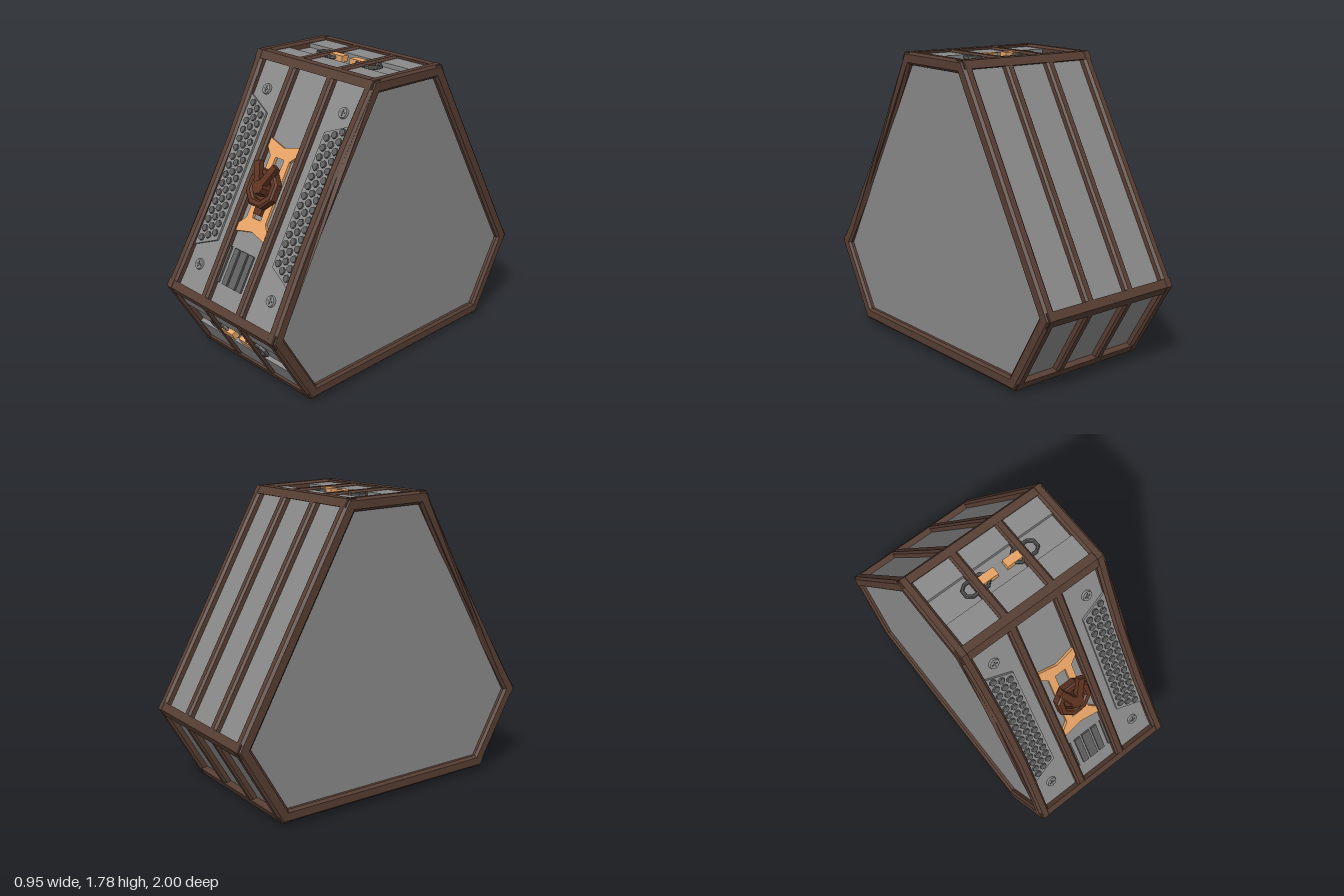
import * as THREE from 'three';

const mat = (color) => new THREE.MeshStandardMaterial({ color, flatShading: true });
const GREY = mat(0x8a8a8a), DARK = mat(0x5e5e5e), BROWN = mat(0x573e33), RUST = mat(0x5c3220), ORANGE = mat(0xe8a466);

// Side outline, counter-clockwise, as (-z, y)
const V = (x, y) => new THREE.Vector2(x, y);
const HEX = [V(-0.73, 0.035), V(0.73, 0.022), V(1, 0.49), V(0.29, 1.765), V(-0.25, 1.778), V(-1, 0.5)];

function inset(pts, d) {
  return pts.map((p, i) => {
    const a = p.clone().sub(pts[(i + pts.length - 1) % pts.length]).normalize();
    const b = pts[(i + 1) % pts.length].clone().sub(p).normalize();
    const k = d / (1 + a.dot(b));
    return V(p.x - (a.y + b.y) * k, p.y + (a.x + b.x) * k);
  });
}

// Extrusion centred on its depth, optional hole and chamfer
function slab(pts, depth, chamfer = 0, hole = null) {
  const shape = new THREE.Shape(pts);
  if (hole) shape.holes.push(new THREE.Path(hole));
  const g = new THREE.ExtrudeGeometry(shape, {
    depth: depth - 2 * chamfer, bevelEnabled: chamfer > 0, bevelSegments: 1,
    bevelSize: chamfer, bevelThickness: chamfer, bevelOffset: -chamfer,
  });
  return g.translate(0, 0, chamfer - depth / 2);
}

function add(parent, name, geometry, material, x = 0, y = 0, z = 0) {
  const m = new THREE.Mesh(geometry, material);
  m.name = name;
  m.position.set(x, y, z);
  parent.add(m);
  return m;
}

const box = (w, h, d) => new THREE.BoxGeometry(w, h, d);
const disc = (r, h, n) => new THREE.CylinderGeometry(r * 0.88, r, h, n).rotateX(Math.PI / 2);
const polygon = (r, n) => Array.from({ length: n }, (_, i) => {
  const a = ((i + 0.5) / n) * Math.PI * 2;
  return V(r * Math.cos(a), r * Math.sin(a));
});

// Group lying on one sloped face: x across, y up the slope, z outwards
function faceGroup(name, low, high) {
  const g = new THREE.Group();
  g.name = name;
  g.position.set(0, (low.y + high.y) / 2, -(low.x + high.x) / 2);
  g.rotation.x = Math.atan2(-(high.x - low.x), high.y - low.y);
  return g;
}

function buildFrame() {
  const frame = new THREE.Group();
  frame.name = 'frame';
  frame.rotation.y = Math.PI / 2;

  // Side frames, waisted along the front slope
  const outline = [...HEX.slice(0, 5), ...[0.12, 0.35, 0.65, 0.9].map((t) => HEX[4].clone().lerp(HEX[5], t)), HEX[5]];
  for (const side of [-1, 1]) {
    const g = slab(outline, 0.062, 0.014, inset(outline, 0.074));
    const p = g.attributes.position;
    for (let i = 0; i < p.count; i++) {
      const y = p.getY(i);
      if (p.getX(i) < 0 && y > 0.55 && y < 1.68) {
        p.setZ(i, p.getZ(i) - side * 0.024 * Math.sin(((y - 0.5) / 1.27) * Math.PI));
      }
    }
    g.computeVertexNormals();
    add(frame, 'sideFrame', g, BROWN, 0, 0, side * 0.445);
  }

  // Inner ribs, sagging at the bottom
  const ribPath = [HEX[0], V(-0.2, 0.028), V(0.2, -0.003), ...HEX.slice(1)];
  for (const side of [-1, 1]) {
    add(frame, 'rib', slab(inset(ribPath, 0.003), 0.056, 0.012, inset(ribPath, 0.07)), BROWN, 0, 0, side * 0.151);
  }

  // Cross bars along the six corners
  const outer = inset(HEX, 0.002), inner = inset(HEX, 0.06);
  HEX.forEach((_, i) => {
    const c = outer[i];
    const toward = (q) => c.clone().add(q.clone().sub(c).setLength(0.05));
    const kite = [c, toward(outer[(i + 1) % 6]), inner[i], toward(outer[(i + 5) % 6])];
    add(frame, 'crossBar', slab(kite, 0.94), BROWN);
  });
  return frame;
}

// Latch panel: raised boards either side of a groove, strap handles in it
function buildLatchPanel(name, low, high) {
  const g = faceGroup(name, low, high);
  for (const s of [-1, 1]) {
    add(g, 'raisedBoard', box(0.86, 0.16, 0.03), GREY, 0, 0.01 + s * 0.163, -0.032);
    const loop = [V(-0.055, -0.05), V(0.05, -0.05), V(0.085, -0.025), V(0.085, 0.025), V(0.05, 0.05), V(-0.055, 0.05), V(-0.085, 0.022), V(-0.085, -0.022)];
    const handle = add(g, 'handle', slab(loop, 0.022, 0.005, inset(loop, 0.018)), DARK, s * 0.16, 0.01, -0.022);
    if (s < 0) handle.rotation.z = Math.PI;
    add(g, 'strap', box(0.1, 0.05, 0.036), ORANGE, s * 0.08, 0.01, -0.024);
  }
  return g;
}

function buildFrontPanel() {
  const g = faceGroup('frontPanel', HEX[5], HEX[4]);

  for (const s of [-1, 1]) {
    // Perforated plate with staggered studs
    const plate = [V(0.24, -0.375), V(0.415, -0.455), V(0.415, 0.485), V(0.24, 0.405)].map((p) => V(p.x * s, p.y));
    add(g, 'grillePlate', slab(plate, 0.016), GREY, 0, 0, -0.037);
    for (let c = 0; c < 3; c++) {
      for (let r = 0; r < 16 - c; r++) {
        add(g, 'grilleStud', disc(0.022, 0.01, 8), DARK, s * (0.368 - c * 0.047), 0.435 - (r + c / 2) * 0.0555, -0.025);
      }
    }
    // Cross-head screws
    for (const y of [0.535, -0.545]) {
      add(g, 'screw', disc(0.033, 0.014, 12), GREY, s * 0.313, y, -0.036);
      add(g, 'screwSlot', box(0.036, 0.008, 0.004), DARK, s * 0.313, y, -0.028);
      add(g, 'screwSlot', box(0.008, 0.036, 0.004), DARK, s * 0.313, y, -0.028);
    }
  }

  // Flared bracket with a central slot
  const half = [V(0.125, -0.278), V(0.125, -0.232), V(0.08, -0.182), V(0.08, 0.185), V(0.125, 0.23), V(0.125, 0.282)];
  const bracket = [V(0, -0.25), ...half, V(0, 0.25), ...half.map((p) => V(-p.x, p.y)).reverse()];
  const slot = [V(-0.035, -0.175), V(0.035, -0.175), V(0.035, 0.185), V(-0.035, 0.185)];
  add(g, 'bracket', slab(bracket, 0.02, 0, slot), ORANGE, 0, 0, -0.035);

  // Octagonal lock with forked key
  const lock = new THREE.Group();
  lock.name = 'lock';
  g.add(lock);
  add(lock, 'lockRing', slab(polygon(0.118, 8), 0.06, 0.01, polygon(0.07, 8)), RUST, 0, 0, 0.006);
  add(lock, 'lockBase', disc(0.08, 0.03, 8), RUST, 0, 0, -0.01);
  add(lock, 'lockHub', disc(0.048, 0.06, 8), RUST, 0, 0, 0.03);
  add(lock, 'lockTongue', box(0.06, 0.1, 0.03), RUST, 0, -0.1, -0.027);
  for (const s of [-1, 1]) {
    add(lock, 'lockProng', box(0.04, 0.12, 0.035), RUST, s * 0.046, 0.08, 0.045).rotation.z = -s * 0.45;
  }

  // Vent slats
  for (const [x, w] of [[-0.12, 0.022], [-0.061, 0.04], [0, 0.056], [0.061, 0.04], [0.12, 0.022]]) {
    add(g, 'ventSlat', box(w, 0.215, 0.014), DARK, x, -0.478, -0.038);
  }
  return g;
}

export function createModel() {
  const model = new THREE.Group();
  model.name = 'crate';
  // Recessed inner body
  add(model, 'body', slab(inset(HEX, 0.042), 0.89), GREY).rotation.y = Math.PI / 2;
  model.add(
    buildFrame(),
    buildFrontPanel(),
    buildLatchPanel('lowerLatchPanel', HEX[0], HEX[5]),
    buildLatchPanel('topLatchPanel', HEX[4], HEX[3]),
  );
  return model;
}
